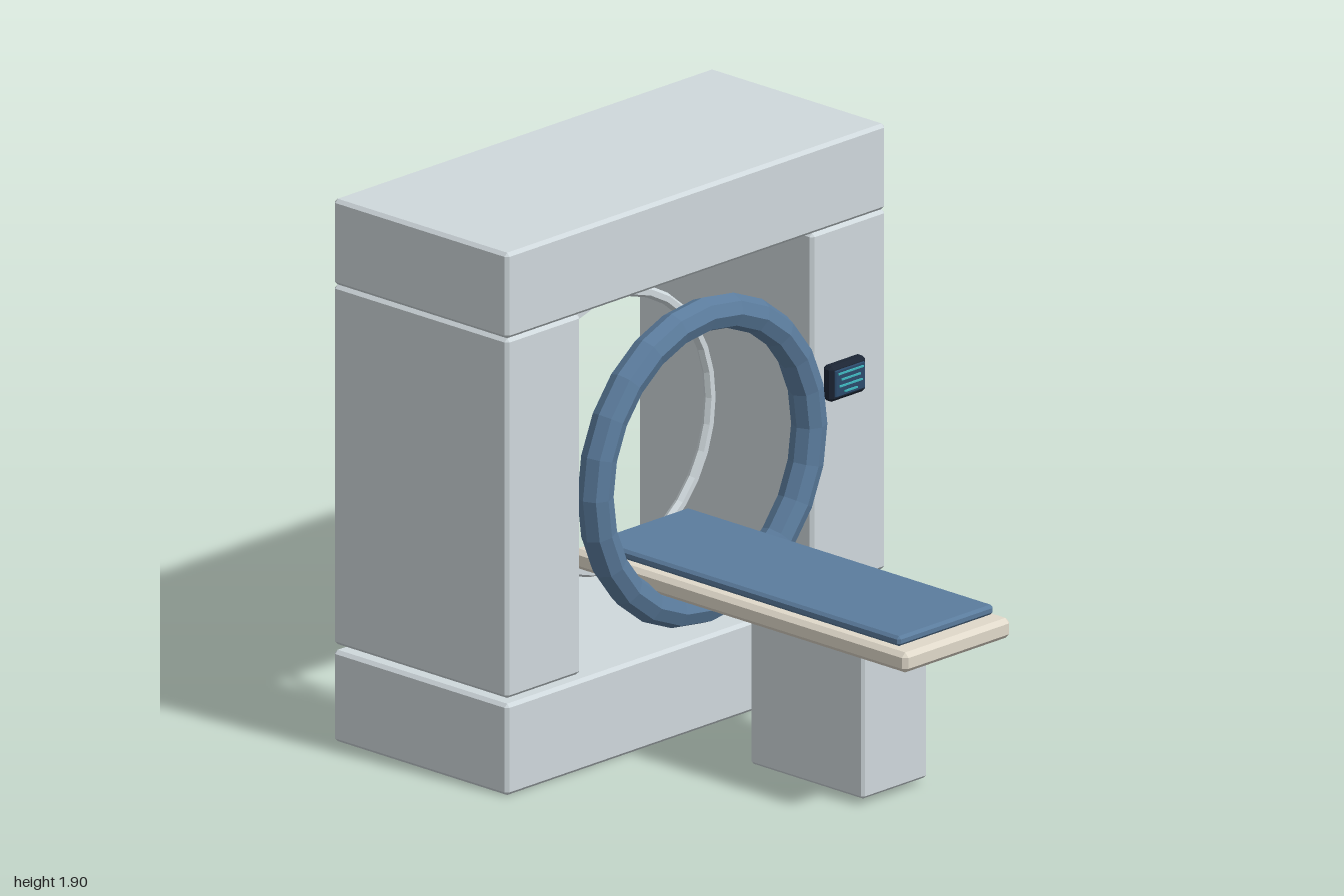
import * as THREE from 'three';
import { ConvexGeometry } from 'three/addons/geometries/ConvexGeometry.js';

const material = (color) => new THREE.MeshStandardMaterial({ color, flatShading: true });

// Box given by its limits on each axis, with every edge chamfered by c
function chamferBox([x0, x1], [y0, y1], [z0, z1], c) {
  const half = [(x1 - x0) / 2, (y1 - y0) / 2, (z1 - z0) / 2];
  const points = [];
  for (const sx of [-1, 1]) for (const sy of [-1, 1]) for (const sz of [-1, 1]) {
    for (let axis = 0; axis < 3; axis++) {
      const p = half.map((h, i) => (i === axis ? h : h - c));
      points.push(new THREE.Vector3(p[0] * sx, p[1] * sy, p[2] * sz));
    }
  }
  const geometry = new ConvexGeometry(points);
  geometry.translate((x0 + x1) / 2, (y0 + y1) / 2, (z0 + z1) / 2);
  return geometry;
}

export function createModel() {
  const model = new THREE.Group();
  model.name = 'scanner';

  const shell = material(0xcfd8dc);
  const blue = material(0x5b7c9d);
  const cream = material(0xe0d9ca);
  const dark = material(0x1c2534);
  const screenBlue = material(0x2b4a6b);
  const glow = material(0x3fb8c0);

  const add = (name, geometry, mat, parent = model) => {
    const mesh = new THREE.Mesh(geometry, mat);
    mesh.name = name;
    parent.add(mesh);
    return mesh;
  };

  // Gantry frame: base, two columns and top beam
  const gantry = new THREE.Group();
  gantry.name = 'gantry';
  model.add(gantry);
  const depth = [-1, -0.2];
  add('base', chamferBox([-0.905, 0.905], [0, 0.32], depth, 0.012), shell, gantry);
  add('topBeam', chamferBox([-0.905, 0.905], [1.6, 1.9], depth, 0.012), shell, gantry);
  add('leftColumn', chamferBox([0.55, 0.905], [0.34, 1.6], depth, 0.012), shell, gantry);
  add('rightColumn', chamferBox([-0.905, -0.55], [0.34, 1.6], depth, 0.012), shell, gantry);

  // Front ring and the thin ring inside the bore
  const axisY = 0.955;
  add('frontRing', new THREE.TorusGeometry(0.51, 0.06, 8, 24), blue).position.set(0, axisY, -0.175);
  add('boreRing', new THREE.TorusGeometry(0.478, 0.02, 6, 32), shell).position.set(0, axisY, -0.6);

  // Patient table
  const table = new THREE.Group();
  table.name = 'table';
  model.add(table);
  add('pedestal', chamferBox([-0.155, 0.155], [0.02, 0.54], [0.19, 0.71], 0.01), shell, table);
  add('tableTop', chamferBox([-0.255, 0.255], [0.555, 0.625], [-0.53, 1], 0.016), cream, table);
  add('mattress', chamferBox([-0.228, 0.228], [0.63, 0.665], [-0.46, 0.945], 0.01), blue, table);

  // Control panel on the left column, with lines on its screen
  const panel = new THREE.Group();
  panel.name = 'controlPanel';
  model.add(panel);
  add('panelCase', chamferBox([0.595, 0.767], [1.008, 1.133], [-0.2, -0.155], 0.012), dark, panel);
  add('screen', chamferBox([0.61, 0.752], [1.024, 1.118], [-0.16, -0.15], 0.003), screenBlue, panel);
  [0.12, 0.09, 0.11, 0.06].forEach((width, i) => {
    const line = add('screenLine', new THREE.BoxGeometry(width, 0.006, 0.006), glow, panel);
    line.position.set(0.681, 1.105 - i * 0.022, -0.148);
  });

  return model;
}
